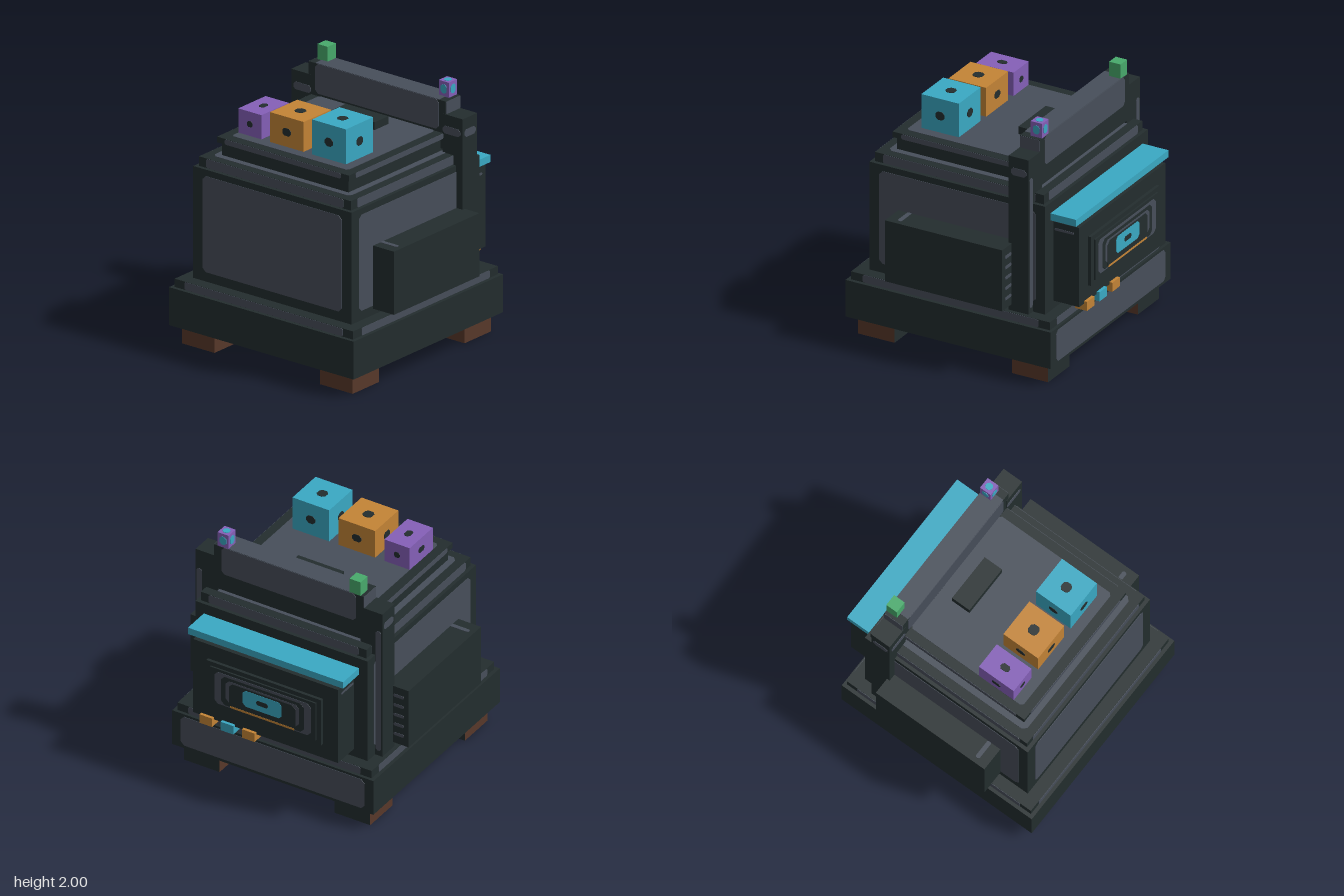
import * as THREE from 'three';

const mat = (name, color) => Object.assign(new THREE.MeshStandardMaterial({ color }), { name });

export function createModel() {
  const root = new THREE.Group();
  root.name = 'blockMachine';
  const dark = mat('charcoal', 0x232d2e), slate = mat('slate', 0x474e5a), cyan = mat('cyan', 0x3aa9c4),
    orange = mat('orange', 0xc48436), purple = mat('purple', 0x8560b8), green = mat('green', 0x48aa6c),
    brown = mat('brown', 0x58382a);

  const add = (name, geo, m, x, y, z) => {
    const mesh = new THREE.Mesh(geo, m);
    mesh.name = name;
    mesh.position.set(x, y, z);
    root.add(mesh);
    return mesh;
  };
  // Box given by its extents
  const box = (name, m, x0, x1, y0, y1, z0, z1) =>
    add(name, new THREE.BoxGeometry(x1 - x0, y1 - y0, z1 - z0), m, (x0 + x1) / 2, (y0 + y1) / 2, (z0 + z1) / 2);

  // Thin plate with clipped corners, facing along one axis.
  // x: (u,v) = (z,y); y: (u,v) = (x,z); z: (u,v) = (x,y)
  const plate = (name, m, axis, at, u0, u1, v0, v1, r = 0.02) => {
    const w = (u1 - u0) / 2, h = (v1 - v0) / 2;
    r = Math.min(r, w * 0.6, h * 0.6);
    const corners = [[w - r, -h], [w, r - h], [w, h - r], [w - r, h], [r - w, h], [-w, h - r], [-w, r - h], [r - w, -h]];
    const geo = new THREE.ExtrudeGeometry(new THREE.Shape(corners.map(c => new THREE.Vector2(...c))),
      { depth: 0.007, bevelEnabled: false }).translate(0, 0, -0.0035);
    if (axis === 'x') geo.rotateY(Math.PI / 2);
    if (axis === 'y') geo.rotateX(Math.PI / 2);
    const u = (u0 + u1) / 2, v = (v0 + v1) / 2;
    const p = { x: [at, v, u], y: [u, at, v], z: [u, v, at] }[axis];
    return add(name, geo, m, ...p);
  };

  // Feet, dark on the rear face
  for (const s of [-1, 1]) for (const z of [0.725, -0.585])
    add('foot', new THREE.BoxGeometry(0.31, 0.15, 0.31), [brown, brown, brown, brown, brown, dark], s * 0.655, 0.075, z);

  // Stepped base and main body
  box('base', dark, -0.875, 0.875, 0.15, 0.45, -0.8, 0.95);
  plate('baseRearPanel', slate, 'z', -0.8, -0.8, 0.8, 0.175, 0.43, 0.03);
  box('baseStep', dark, -0.845, 0.845, 0.45, 0.515, -0.775, 0.92);
  box('body', dark, -0.75, 0.75, 0.515, 1.4, -0.68, 0.82);
  plate('bodyFrontPanel', slate, 'z', 0.82, -0.66, 0.66, 0.59, 1.35, 0.03);

  // Stepped top
  box('lowerTier', dark, -0.72, 0.72, 1.4, 1.475, -0.65, 0.79);
  plate('lowerTierTop', slate, 'y', 1.475, -0.65, 0.65, -0.58, 0.72, 0.03);
  box('middleTier', dark, -0.6, 0.6, 1.475, 1.58, -0.55, 0.67);
  box('topSlab', dark, -0.625, 0.625, 1.58, 1.625, -0.55, 0.695);
  plate('topPanel', slate, 'y', 1.625, -0.55, 0.55, -0.41, 0.62, 0.02);
  plate('topSlabFrontStrip', slate, 'z', 0.695, -0.55, 0.55, 1.582, 1.623, 0.01);
  box('topVent', dark, -0.2, 0.2, 1.625, 1.69, -0.29, -0.13);

  // Slate strips around the steps
  for (const z of [0.92, -0.775]) plate('baseStepStrip', slate, 'z', z, -0.75, 0.75, 0.452, 0.513, 0.01);
  for (const z of [0.79, -0.65]) plate('tierStrip', slate, 'z', z, -0.65, 0.65, 1.402, 1.473, 0.01);

  // Rear beam between the columns
  box('rearBeam', dark, -0.65, 0.65, 1.5, 1.88, -0.577, -0.407);
  plate('beamTop', slate, 'y', 1.88, -0.585, 0.585, -0.577, -0.407, 0.005);
  for (const z of [-0.577, -0.407]) plate('beamPanel', slate, 'z', z, -0.585, 0.585, 1.645, 1.88, 0.025);

  for (const s of [-1, 1]) {
    const span = (a, b) => s > 0 ? [a, b] : [-b, -a];
    // Side strips and panels
    plate('baseStepSideStrip', slate, 'x', s * 0.845, -0.68, 0.82, 0.452, 0.513, 0.01);
    plate('bodySidePanel', slate, 'x', s * 0.75, -0.595, 0.735, 0.59, 1.35, 0.03);
    plate('tierSideStrip', slate, 'x', s * 0.72, -0.58, 0.72, 1.402, 1.473, 0.01);
    plate('topSlabSideStrip', slate, 'x', s * 0.625, -0.41, 0.62, 1.582, 1.623, 0.01);
    plate('beamEnd', slate, 'x', s * 0.65, -0.575, -0.409, 1.78, 1.878, 0.005);
    // Rear column with its markings
    box('rearColumn', dark, ...span(0.62, 0.812), 0.515, 1.78, -0.575, -0.405);
    plate('columnSideMark', slate, 'x', s * 0.812, -0.555, -0.425, 1.63, 1.69, 0.025);
    plate('columnFrontMark', slate, 'z', -0.405, ...span(0.625, 0.79), 1.63, 1.69, 0.025);
    plate('columnRearStrip', slate, 'z', -0.575, ...span(0.757, 0.802), 0.56, 1.62, 0.015);
    // Side box with slats on its rear face
    box('sideBox', dark, ...span(0.74, 0.95), 0.565, 1.065, -0.43, 0.57);
    plate('sideBoxTopMark', slate, 'y', 1.065, ...span(0.75, 0.91), 0.455, 0.49, 0.01);
    for (let i = 0; i < 5; i++)
      plate('sideBoxSlat', slate, 'z', -0.43, ...span(0.82, 0.91), 0.635 + i * 0.085, 0.66 + i * 0.085, 0.008);
    // Strip on the side of the rear unit
    plate('unitSideStrip', slate, 'x', s * 0.63, -0.855, -0.69, 1.162, 1.18, 0.005);
  }

  // Rear unit with awning and layered window
  box('rearUnit', dark, -0.63, 0.63, 0.58, 1.23, -0.9, -0.68);
  box('awning', cyan, -0.675, 0.675, 1.258, 1.315, -0.9, -0.675);
  box('windowFrame', dark, -0.5, 0.5, 0.705, 1.105, -0.925, -0.9);
  box('windowInset', dark, -0.46, 0.46, 0.74, 1.07, -0.938, -0.925);
  plate('windowOuterRing', slate, 'z', -0.938, -0.42, 0.42, 0.765, 1.045, 0.03);
  plate('windowOuterGlass', dark, 'z', -0.9395, -0.36, 0.36, 0.775, 1.025, 0.03);
  plate('windowInnerRing', slate, 'z', -0.941, -0.32, 0.32, 0.81, 1.0, 0.03);
  plate('windowInnerGlass', dark, 'z', -0.9425, -0.29, 0.29, 0.755, 0.985, 0.03);
  plate('windowScreen', cyan, 'z', -0.944, -0.17, 0.17, 0.83, 0.97, 0.025);
  plate('windowPupil', dark, 'z', -0.9455, -0.05, 0.05, 0.88, 0.92, 0.02);
  plate('windowBar', orange, 'z', -0.944, -0.28, 0.28, 0.77, 0.787, 0.004);

  // Knobs under the rear unit
  [orange, cyan, orange].forEach((m, i) =>
    box('knob', m, 0.45 - i * 0.185, 0.56 - i * 0.185, 0.525, 0.6, -0.925, -0.825));

  // Blocks with a dot on every exposed face
  const dottedBlock = (name, m, dot, k, x0, x1, y0, y1, z0, z1) => {
    box(name, m, x0, x1, y0, y1, z0, z1);
    const [cx, cy, cz] = [(x0 + x1) / 2, (y0 + y1) / 2, (z0 + z1) / 2];
    const [dx, dy, dz] = [(x1 - x0) * k, (y1 - y0) * k, (z1 - z0) * k];
    for (const z of [z0, z1]) plate(name + 'Dot', dot, 'z', z, cx - dx, cx + dx, cy - dy, cy + dy, 0.02);
    for (const x of [x0, x1]) plate(name + 'Dot', dot, 'x', x, cz - dz, cz + dz, cy - dy, cy + dy, 0.02);
    plate(name + 'Dot', dot, 'y', y1, cx - dx, cx + dx, cz - dz, cz + dz, 0.02);
  };
  dottedBlock('smallBlock', purple, dark, 0.12, -0.55, -0.33, 1.625, 1.82, 0.22, 0.54);
  dottedBlock('mediumBlock', orange, dark, 0.125, -0.25, 0.07, 1.625, 1.865, 0.22, 0.54);
  dottedBlock('largeBlock', cyan, dark, 0.12, 0.15, 0.47, 1.625, 1.905, 0.22, 0.54);
  dottedBlock('leftLamp', purple, cyan, 0.29, 0.525, 0.62, 1.88, 2.0, -0.577, -0.48);
  box('rightLamp', green, -0.625, -0.528, 1.88, 2.0, -0.577, -0.48);

  return root;
}
